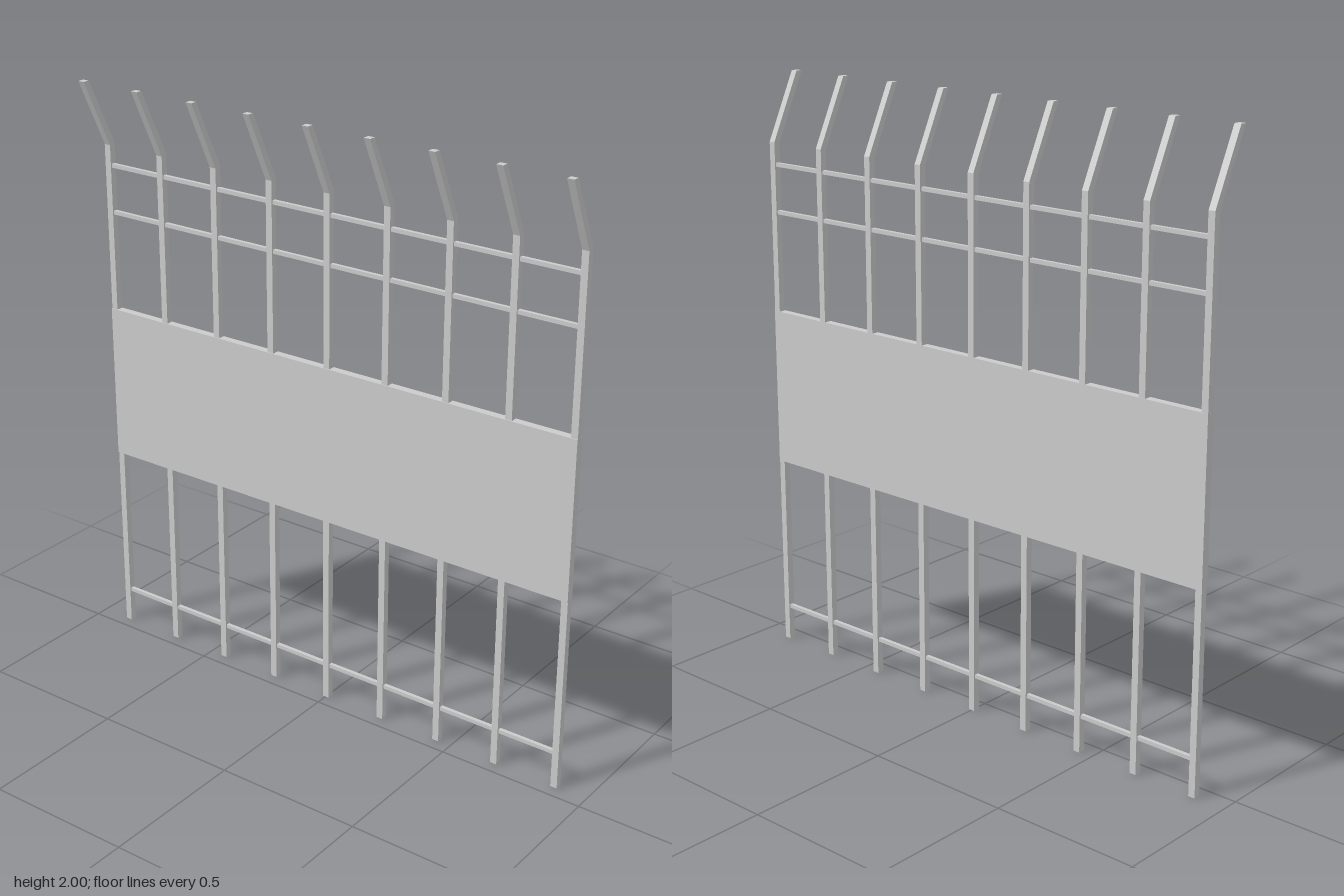
import * as THREE from 'three';

export function createModel() {
  const group = new THREE.Group();
  group.name = 'fence';
  const material = new THREE.MeshStandardMaterial({ color: 0xcccccc, flatShading: true });

  const add = (name, geometry, x, y, z) => {
    const mesh = new THREE.Mesh(geometry, material);
    mesh.name = name;
    mesh.position.set(x, y, z);
    group.add(mesh);
  };

  // Square post with a forward-leaning top: side profile (z, y) extruded across x
  const width = 0.023;
  const profile = new THREE.Shape([
    [-0.065, 0], [-0.042, 0], [-0.042, 1.77], [0.066, 2], [0.043, 2], [-0.065, 1.775],
  ].map(([z, y]) => new THREE.Vector2(z, y)));
  const postGeometry = new THREE.ExtrudeGeometry(profile, { depth: width, bevelEnabled: false })
    .translate(0, 0, -width / 2)
    .rotateY(-Math.PI / 2);

  // Row of evenly spaced posts
  const count = 9, half = 0.886;
  for (let i = 0; i < count; i++) {
    add('post' + (i + 1), postGeometry, -half + (2 * half * i) / (count - 1), 0, 0);
  }

  // Thin horizontal rails running through the posts
  const railGeometry = new THREE.BoxGeometry(2 * half, 0.013, 0.013);
  [['bottomRail', 0.122], ['middleRail', 1.54], ['topRail', 1.7]]
    .forEach(([name, y]) => add(name, railGeometry, 0, y, -0.0535));

  // Solid panel enclosing the middle of the posts
  add('panel', new THREE.BoxGeometry(1.796, 0.535, 0.027), 0, 0.9325, -0.0525);

  return group;
}
